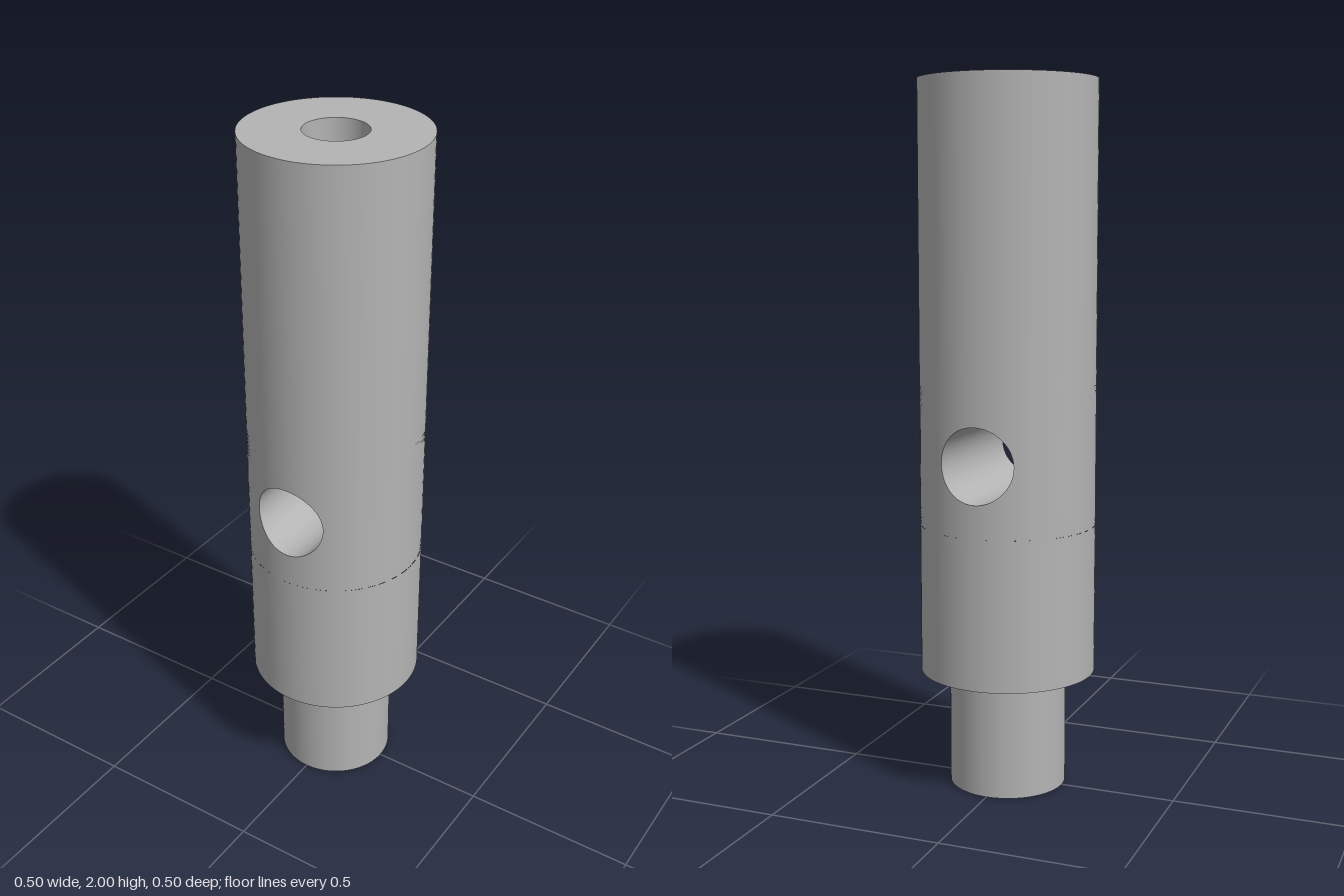
import * as THREE from 'three';
import { mergeGeometries } from 'three/addons/utils/BufferGeometryUtils.js';

const R = 0.25;          // body radius
const TENON_R = 0.167;
const SHOULDER = 0.335;  // where the tenon meets the body
const TOP = 2;
const BORE_R = 0.087;    // blind hole in the top
const HOLE_R = 0.106;    // cross hole along z
const HOLE_Y = 0.962;
const BAND = 0.2;        // half height of the wall band around the cross hole
const SEG = 96;

// Turned surface with a crisp edge at every profile point
function turned(profile) {
  const parts = [];
  for (let i = 0; i + 1 < profile.length; i++) {
    const pair = [profile[i], profile[i + 1]].map(([x, y]) => new THREE.Vector2(x, y));
    parts.push(new THREE.LatheGeometry(pair, SEG));
  }
  return mergeGeometries(parts);
}

// Closed ring of quads; at(t, angle) returns [position, normal]
function ringSurface(rows, at) {
  const positions = [], normals = [], index = [];
  for (let i = 0; i <= rows; i++) {
    for (let j = 0; j <= SEG; j++) {
      const [p, n] = at(i / rows, (j / SEG) * Math.PI * 2);
      positions.push(...p);
      normals.push(...n);
      if (i < rows && j < SEG) {
        const a = i * (SEG + 1) + j, b = a + SEG + 1;
        index.push(a, b, b + 1, a, b + 1, a + 1);
      }
    }
  }
  const g = new THREE.BufferGeometry();
  g.setAttribute('position', new THREE.Float32BufferAttribute(positions, 3));
  g.setAttribute('normal', new THREE.Float32BufferAttribute(normals, 3));
  g.setIndex(index);
  return g;
}

// Half of the wall band, spreading from the round hole to a rectangle on the cylinder
function piercedWall() {
  return ringSurface(16, (t, a) => {
    const c = Math.cos(a), s = Math.sin(a), m = Math.max(Math.abs(c), Math.abs(s));
    const theta = THREE.MathUtils.lerp(Math.asin(HOLE_R * c / R), (c / m) * Math.PI / 2, t);
    const y = HOLE_Y + THREE.MathUtils.lerp(HOLE_R * s, (s / m) * BAND, t);
    const nx = Math.sin(theta), nz = Math.cos(theta);
    return [[R * nx, y, R * nz], [nx, 0, nz]];
  });
}

// Inner wall of the cross hole, trimmed to the body at both ends
function holeWall() {
  return ringSurface(4, (t, a) => {
    const x = HOLE_R * Math.cos(a), y = HOLE_R * Math.sin(a);
    const z = (2 * t - 1) * Math.sqrt(R * R - x * x);
    return [[x, HOLE_Y + y, z], [-Math.cos(a), -Math.sin(a), 0]];
  });
}

export function createModel() {
  const group = new THREE.Group();
  group.name = 'drilledPin';
  const steel = new THREE.MeshStandardMaterial({ color: 0xb4b4b4 });
  steel.name = 'steel grey';

  const add = (name, geometry) => {
    const mesh = new THREE.Mesh(geometry, steel);
    mesh.name = name;
    group.add(mesh);
    return mesh;
  };

  add('tenon', turned([[0, 0], [TENON_R, 0], [TENON_R, SHOULDER]]));
  add('lowerBody', turned([[TENON_R, SHOULDER], [R, SHOULDER], [R, HOLE_Y - BAND]]));
  add('upperBody', turned([[R, HOLE_Y + BAND], [R, TOP], [BORE_R, TOP]]));

  // Blind bore with a conical drill point
  add('topBore', turned([[BORE_R, TOP], [BORE_R, 1.55], [0, 1.47]]));

  // Cross hole and the wall around it, front and back
  add('frontWall', piercedWall());
  add('backWall', piercedWall()).rotation.y = Math.PI;
  add('crossHole', holeWall());

  return group;
}
